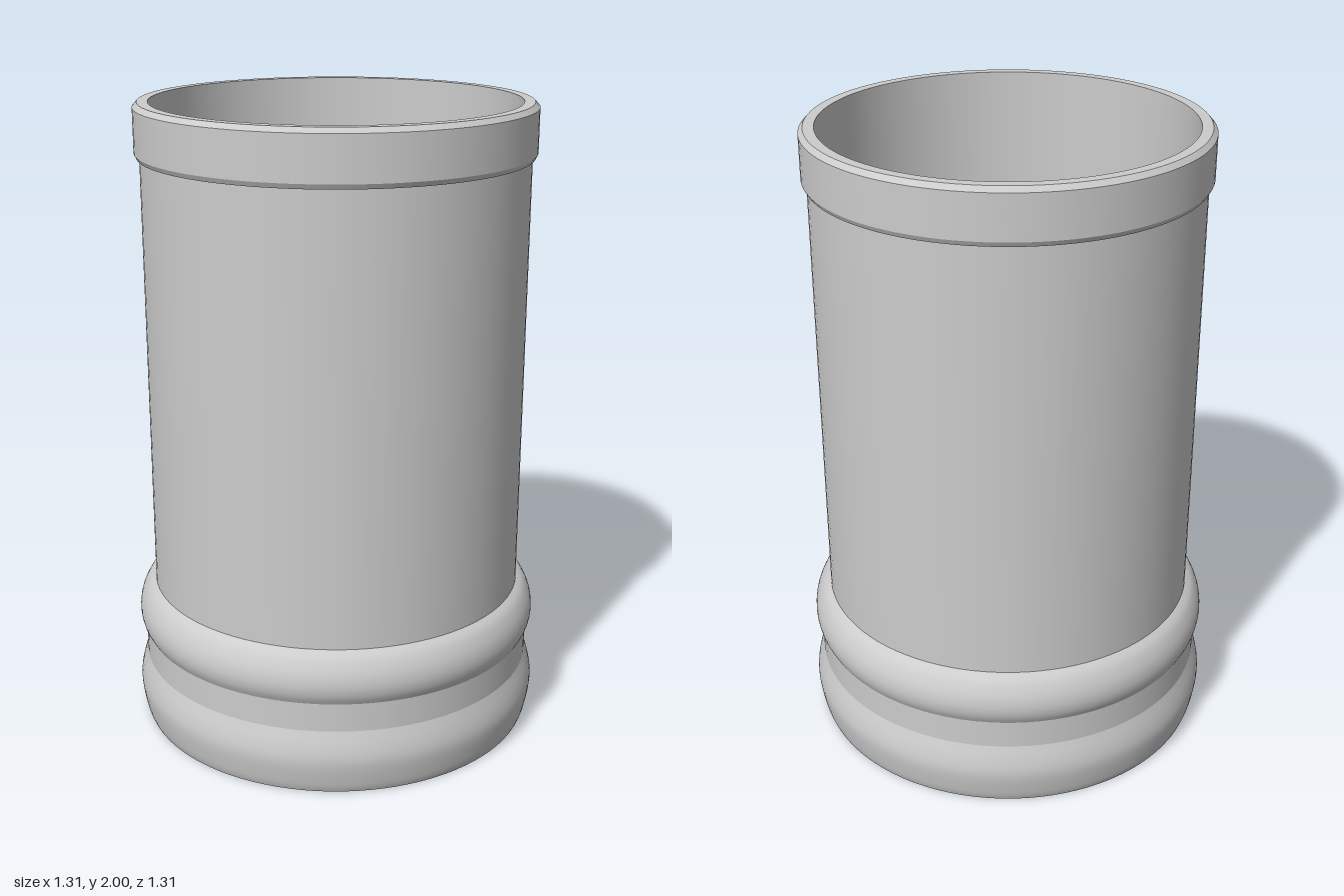
import * as THREE from 'three';

const SEGMENTS = 96;

export function createModel() {
  const group = new THREE.Group();
  group.name = 'cup';
  const grey = new THREE.MeshStandardMaterial({ color: 0xcccccc });
  grey.name = 'light grey';

  // Revolves [radius, height] points; outer profiles run upwards, inner ones downwards
  const lathe = (name, profile) => {
    const points = profile.map(([r, y]) => new THREE.Vector2(r, y));
    const mesh = new THREE.Mesh(new THREE.LatheGeometry(points, SEGMENTS), grey);
    mesh.name = name;
    group.add(mesh);
  };

  // Smooth curve through a few profile points
  const smooth = (profile, n) =>
    new THREE.SplineCurve(profile.map(([r, y]) => new THREE.Vector2(r, y)))
      .getPoints(n).map((p) => [p.x, p.y]);

  // Base with two rounded rings and a straight waist between them
  lathe('underside', [[0, 0], [0.635, 0]]);
  lathe('lowerRing', smooth([[0.635, 0], [0.645, 0.03], [0.656, 0.1], [0.65, 0.15], [0.632, 0.205]], 20));
  lathe('waist', [[0.632, 0.205], [0.632, 0.297]]);
  lathe('upperRing', smooth([[0.632, 0.297], [0.645, 0.325], [0.65, 0.36], [0.643, 0.4], [0.622, 0.44], [0.596, 0.46]], 20));

  // Straight outer wall
  lathe('body', [[0.596, 0.46], [0.596, 1.835]]);

  // Rim band with small bevels
  lathe('rimUnderside', [[0.596, 1.835], [0.604, 1.835]]);
  lathe('rimLowerBevel', [[0.604, 1.835], [0.612, 1.85]]);
  lathe('rimBand', [[0.612, 1.85], [0.612, 1.985]]);
  lathe('rimUpperBevel', [[0.612, 1.985], [0.598, 2]]);
  lathe('rimTop', [[0.598, 2], [0.565, 2]]);

  // Hollow inside
  lathe('innerWall', [[0.565, 2], [0.565, 0.06]]);
  lathe('innerFloor', [[0.565, 0.06], [0, 0.06]]);

  return group;
}
